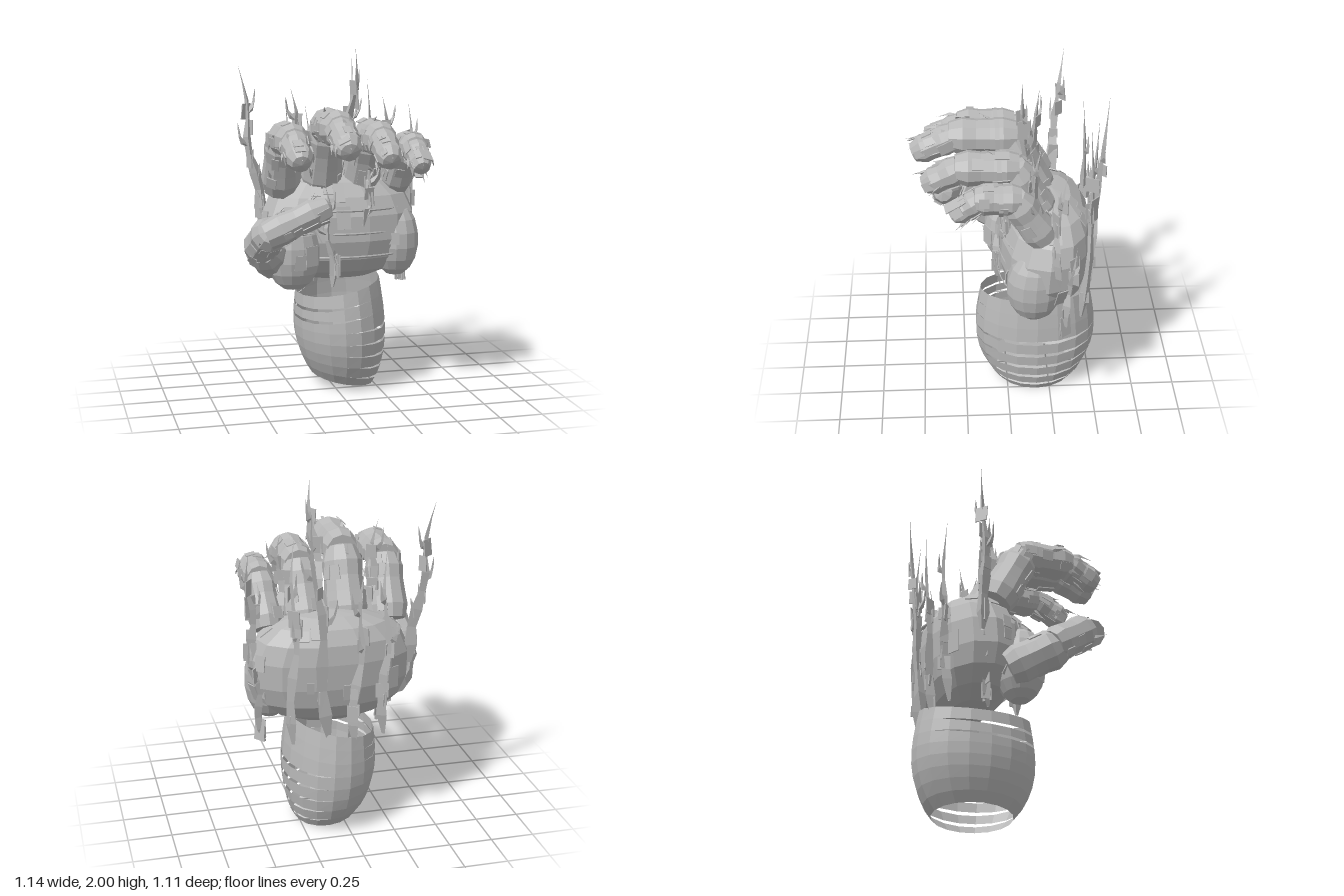
import * as THREE from 'three';

export function createModel() {
  const root = new THREE.Group();
  root.name = 'spikyHand';
  const stone = new THREE.MeshStandardMaterial({ color: 0xb8b8b8, flatShading: true, side: THREE.DoubleSide });
  stone.name = 'paleGrey';
  const V = (x, y, z) => new THREE.Vector3(x, y, z);
  const UP = V(0, 1, 0);
  let seed = 11;
  const rnd = (a, b) => {
    seed = (seed * 16807) % 2147483647;
    return a + (b - a) * seed / 2147483647;
  };
  const add = (geo, name, parent = root) => {
    const m = new THREE.Mesh(geo, stone);
    m.name = name;
    parent.add(m);
    return m;
  };

  // Thin square plate facing along a normal
  const plate = (pos, normal, size, parent = root) => {
    const m = add(new THREE.BoxGeometry(size * rnd(0.6, 1), size * rnd(0.8, 1.4), 0.006), 'armourPlate', parent);
    const z = normal.clone().normalize();
    const x = new THREE.Vector3().crossVectors(UP, z).normalize();
    const y = new THREE.Vector3().crossVectors(z, x);
    m.quaternion.setFromRotationMatrix(new THREE.Matrix4().makeBasis(x, y, z));
    m.rotateX(rnd(-0.12, 0.12));
    m.position.copy(pos);
  };

  // Tapered, jagged three-sided flame strand
  const wisp = (pts, w, parent, name, steps) => {
    const curve = new THREE.CatmullRomCurve3(pts);
    const g = new THREE.TubeGeometry(curve, steps, 1, 3);
    const p = g.attributes.position, v = V(0, 0, 0);
    for (let i = 0; i < p.count; i++) {
      const row = Math.floor(i / 4), t = row / steps, c = curve.getPointAt(t);
      const taper = t < 0.15 ? 0.4 + t * 4 : (1 - t) / 0.85;
      v.fromBufferAttribute(p, i).sub(c).multiplyScalar(w * taper * (row % 2 ? 1.15 : 0.75)).add(c);
      p.setXYZ(i, v.x, v.y, v.z);
    }
    g.computeVertexNormals();
    add(g, name, parent);
    return curve;
  };

  // Faceted finger bone between two points, dressed with plates and thorns
  const bone = (a, b, r, profile, name, parent, plates, thorns) => {
    const dir = b.clone().sub(a), len = dir.length();
    const g = new THREE.Group();
    g.name = name;
    g.position.copy(a);
    g.quaternion.setFromUnitVectors(UP, dir.normalize());
    parent.add(g);
    const n = profile.length - 1;
    const pts = profile.map((k, i) => new THREE.Vector2(k * r, len * i / n));
    add(new THREE.LatheGeometry([new THREE.Vector2(0, 0), ...pts, new THREE.Vector2(0, len * 1.05)], 10), name + 'Shell', g);
    const skin = t => {
      const i = Math.min(n - 1, Math.floor(t * n));
      return r * THREE.MathUtils.lerp(profile[i], profile[i + 1], t * n - i);
    };
    for (let i = 0; i < plates + thorns; i++) {
      const ang = rnd(0, Math.PI * 2), t = rnd(0.15, 0.9);
      const out = V(Math.cos(ang), 0, Math.sin(ang));
      const at = (k, dy) => out.clone().multiplyScalar(skin(t) * k).setY(t * len + dy);
      if (i < plates) plate(at(1, 0), out, rnd(0.05, 0.075), g);
      else wisp([at(0.85, -0.03), at(1.03, 0), at(1.3, rnd(0.04, 0.09))], 0.012, g, 'thorn', 3);
    }
  };

  // Wrist cuff: bowed open bands whose slits widen toward one side
  const N = 18, bands = 8;
  const cuffPoint = (t, th) => {
    const bow = Math.sin(Math.PI * Math.pow(t, 0.8));
    const rx = 0.185 + 0.06 * t + 0.055 * bow, rz = 0.235 + 0.09 * t + 0.08 * bow;
    const x = 0.08 - 0.03 * t + rx * Math.cos(th);
    const y0 = 0.03 - (x - 0.08) * 0.16, y1 = 0.61 + (x - 0.04) * 0.2;
    return V(x, y0 + (y1 - y0) * t, -0.17 + rz * Math.sin(th));
  };
  const cuff = new THREE.Group();
  cuff.name = 'wristCuff';
  root.add(cuff);
  for (let k = 0; k < bands; k++) {
    const pos = [], idx = [];
    const side = k > 4 ? Math.PI * 0.85 : 0.1;
    const level = j => Math.pow(j / bands, 1.1);
    for (let i = 0; i <= N; i++) {
      const th = i / N * Math.PI * 2;
      const gap = k < bands - 1 ? 0.04 * Math.max(0, Math.cos(th - side) - 0.15) : 0;
      pos.push(...cuffPoint(level(k), th), ...cuffPoint(level(k + 1) - gap, th));
      const j = i * 2;
      if (i < N) idx.push(j, j + 1, j + 2, j + 1, j + 3, j + 2);
    }
    const g = new THREE.BufferGeometry();
    g.setAttribute('position', new THREE.Float32BufferAttribute(pos, 3));
    g.setIndex(idx);
    g.computeVertexNormals();
    add(g, 'cuffBand', cuff);
  }

  // Palm and its two heel pads: boxy ellipsoids, leaning back above the middle, with plates
  const pad = (c, r, pow, lean, name, plates) => {
    const boxy = v => Math.sign(v) * Math.pow(Math.abs(v), pow);
    const surface = d => {
      const q = V(boxy(d.x), boxy(d.y), boxy(d.z)).multiply(r);
      q.z -= lean * Math.max(0, q.y);
      return q.add(c);
    };
    const g = new THREE.SphereGeometry(1, 14, 9);
    const p = g.attributes.position;
    for (let i = 0; i < p.count; i++) {
      const q = surface(V(p.getX(i), p.getY(i), p.getZ(i)));
      p.setXYZ(i, q.x, q.y, q.z);
    }
    g.computeVertexNormals();
    add(g, name);
    for (let i = 0; i < plates; i++) {
      const y = rnd(-0.5, 0.75), a = rnd(0, Math.PI * 2), h = Math.sqrt(1 - y * y);
      const d = V(h * Math.cos(a), y, h * Math.sin(a));
      plate(surface(d), d.clone().divide(r), rnd(0.06, 0.1));
    }
  };
  pad(V(0.07, 0.96, -0.21), V(0.47, 0.33, 0.26), 0.86, 0.15, 'palm', 22);
  pad(V(0.4, 0.87, -0.14), V(0.14, 0.23, 0.16), 0.95, 0.1, 'outerHeelPad', 4);
  pad(V(-0.25, 0.83, -0.02), V(0.16, 0.22, 0.14), 0.95, 0, 'thumbHeelPad', 4);

  // Raised bands across the palm front
  for (let i = 0; i < 3; i++) {
    const arc = new THREE.TorusGeometry(1, 0.012, 4, 12, Math.PI / 2);
    arc.rotateZ(Math.PI / 4).rotateX(Math.PI / 2).scale(0.42, 0.6, 0.265);
    add(arc, 'palmBand').position.set(0.09, 0.8 + i * 0.135, -0.21 - i * 0.01);
  }

  // Four curled fingers
  const lowerShape = [0.95, 1.12, 1.05, 1, 1.06, 0.8];
  const middleShape = [0.8, 0.98, 0.92, 0.9, 0.98, 0.75];
  const tipShape = [0.72, 0.82, 0.7, 0.76, 0.5];
  const finger = (name, x, h, middleZ, tipZ, r) => {
    const f = new THREE.Group();
    f.name = name;
    root.add(f);
    bone(V(x * 0.96, 1.18, -0.19), V(x, h + 0.01, -0.02), r, lowerShape, 'lowerBone', f, 7, 2);
    bone(V(x, h, -0.06), V(x, h + 0.01, middleZ), r, middleShape, 'middleBone', f, 8, 1);
    bone(V(x, h + 0.01, middleZ - 0.03), V(x, h - 0.09, tipZ), r, tipShape, 'fingertip', f, 10, 5);
    // Nail and knuckle collar
    const nail = add(new THREE.ConeGeometry(r * 0.45, 0.1, 4), 'nail', f);
    nail.scale.z = 0.4;
    nail.rotation.x = Math.PI / 2 + 0.4;
    nail.position.set(x, h - 0.05, tipZ - 0.02);
    const collar = add(new THREE.CylinderGeometry(r, r, 0.025, 10, 1, true), 'knuckleCollar', f);
    collar.rotation.x = Math.PI / 2;
    collar.position.set(x, h, 0.05);
  };
  finger('indexFinger', -0.3, 1.5, 0.27, 0.44, 0.104);
  finger('middleFinger', -0.05, 1.565, 0.32, 0.52, 0.11);
  finger('ringFinger', 0.2, 1.5, 0.29, 0.46, 0.104);
  finger('littleFinger', 0.425, 1.435, 0.19, 0.31, 0.09);

  // Thumb bending across the front
  const thumb = new THREE.Group();
  thumb.name = 'thumb';
  root.add(thumb);
  bone(V(-0.33, 0.76, -0.12), V(-0.46, 0.9, 0.14), 0.12, middleShape, 'thumbBase', thumb, 2, 0);
  bone(V(-0.47, 0.88, 0.08), V(-0.44, 1.03, 0.31), 0.108, middleShape, 'thumbMiddle', thumb, 5, 1);
  bone(V(-0.47, 1, 0.32), V(-0.13, 1.16, 0.36), 0.11, tipShape, 'thumbTip', thumb, 10, 5);

  // Tall flame strand rising from a root to a tip, bulging out in depth and swaying
  const strand = (from, to, bulge, w) => {
    const pts = [0, 0.25, 0.5, 0.75, 1].map((t, i) => {
      const p = from.clone().lerp(to, t);
      p.x += i % 4 ? (i % 2 ? 0.02 : -0.015) : 0;
      p.z += bulge * Math.sin(Math.PI * t);
      return p;
    });
    const c = wisp(pts, w, root, 'flameStrand', 9);
    for (let i = 0; i < 6; i++) {
      const a = rnd(0, Math.PI * 2), n = V(Math.cos(a), 0, Math.sin(a));
      plate(c.getPointAt(rnd(0.03, 0.75)).addScaledVector(n, w * 0.4), n, rnd(0.06, 0.1));
    }
    // Side flicks
    for (let i = 0; i < 2; i++) {
      const p = c.getPointAt(0.5 + i * 0.2), dx = rnd(-0.09, 0.09), dz = rnd(-0.04, 0.03);
      wisp([p, p.clone().add(V(dx * 0.7, 0.04, dz)), p.clone().add(V(dx, 0.14, dz))], 0.018, root, 'flameFlick', 4);
    }
  };
  // Over the back of the hand
  strand(V(0.13, 0.6, -0.46), V(0.24, 1.95, -0.54), 0, 0.045);
  strand(V(-0.2, 0.58, -0.42), V(-0.2, 1.7, -0.45), -0.03, 0.035);
  strand(V(0.32, 0.57, -0.42), V(0.31, 1.8, -0.44), -0.03, 0.035);
  strand(V(-0.02, 0.55, -0.46), V(-0.06, 1.65, -0.53), 0, 0.035);
  // Between the fingers
  strand(V(0.08, 1.15, -0.2), V(0.14, 2, -0.08), 0.04, 0.05);
  strand(V(-0.18, 1.15, -0.2), V(-0.22, 1.77, -0.2), 0.03, 0.04);
  strand(V(0.32, 1.1, -0.22), V(0.33, 1.72, -0.18), 0.06, 0.04);
  // Along the sides and the front of the palm
  strand(V(-0.38, 0.95, -0.3), V(-0.5, 1.9, -0.36), 0.02, 0.045);
  strand(V(0.5, 0.9, -0.27), V(0.53, 1.66, -0.3), 0.03, 0.035);
  strand(V(0.46, 0.57, -0.3), V(0.55, 1.2, -0.36), 0, 0.03);
  strand(V(-0.22, 0.57, -0.2), V(-0.43, 1.2, -0.28), -0.02, 0.03);
  strand(V(-0.03, 0.63, 0.05), V(-0.07, 1.25, 0), 0.02, 0.03);
  strand(V(0.17, 1, 0.02), V(0.24, 1.42, -0.04), 0, 0.025);
  return root;
}
